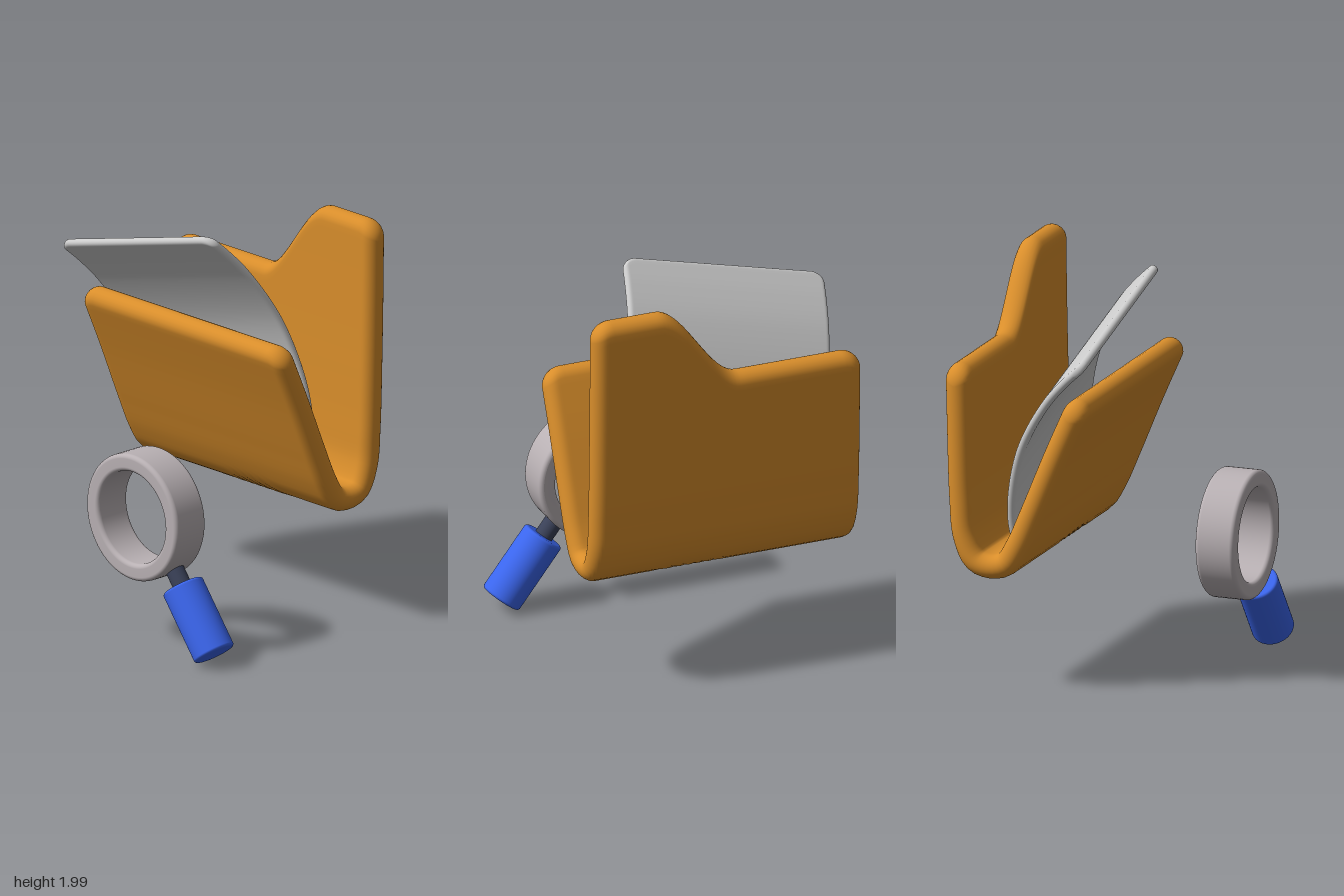
import * as THREE from 'three';
import { mergeVertices } from 'three/addons/utils/BufferGeometryUtils.js';

const mat = (color) => new THREE.MeshStandardMaterial({ color, roughness: 0.6 });

function addMesh(parent, name, geometry, material) {
  const mesh = new THREE.Mesh(geometry, material);
  mesh.name = name;
  parent.add(mesh);
  return mesh;
}

// Round-edged sheet that follows a path of [z, y] points and is swept along x.
// startDrop(x) shortens the sheet at the start of the path.
function bentSheet({ path, halfWidth, r, corner, startDrop = () => 0 }) {
  const curve = new THREE.CatmullRomCurve3(path.map(([z, y]) => new THREE.Vector3(0, y, z)));
  const length = curve.getLength();
  const edge = 12, middle = 60, along = 70, cap = 10;

  // Columns gather towards both side edges
  const xs = [];
  for (let k = 0; k <= edge; k++) xs.push(-halfWidth + corner * (1 - Math.cos((k / edge) * Math.PI / 2)));
  const inner = halfWidth - corner;
  for (let k = 1; k < middle; k++) xs.push(-inner + (2 * inner * k) / middle);
  for (let k = edge; k >= 0; k--) xs.push(-xs[k]);

  const positions = [], indices = [];
  const loop = 2 * (along + 1) + 2 * (cap - 1);
  const arcHeight = (radius, d) => (d >= radius ? radius : Math.sqrt(Math.max(0, radius ** 2 - (radius - d) ** 2)));

  for (const x of xs) {
    const d = halfWidth - Math.abs(x);
    const thick = arcHeight(r, d);
    const cut = corner - arcHeight(corner, d) + thick;
    const u0 = (cut + startDrop(x)) / length, u1 = 1 - cut / length;
    const put = (u, a) => {
      const p = curve.getPointAt(u), t = curve.getTangentAt(u);
      const c = Math.cos(a) * thick, s = Math.sin(a) * thick;
      positions.push(x, p.y - t.z * c + t.y * s, p.z + t.y * c + t.z * s);
    };
    for (let k = 0; k <= along; k++) put(u0 + ((u1 - u0) * k) / along, 0);
    for (let k = 1; k < cap; k++) put(u1, (Math.PI * k) / cap);
    for (let k = along; k >= 0; k--) put(u0 + ((u1 - u0) * k) / along, Math.PI);
    for (let k = 1; k < cap; k++) put(u0, Math.PI + (Math.PI * k) / cap);
  }
  for (let i = 0; i < xs.length - 1; i++) {
    for (let j = 0; j < loop; j++) {
      const a = i * loop + j, b = i * loop + ((j + 1) % loop);
      indices.push(a, a + loop, b, b, a + loop, b + loop);
    }
  }
  let geometry = new THREE.BufferGeometry();
  geometry.setAttribute('position', new THREE.Float32BufferAttribute(positions, 3));
  geometry.setIndex(indices);
  geometry = mergeVertices(geometry, 1e-5);
  geometry.computeVertexNormals();
  return geometry;
}

// Counterclockwise quarter arc for lathe profiles
function arc(cx, cy, radius, from, steps = 6) {
  return Array.from({ length: steps + 1 }, (_, k) => {
    const a = from + (k / steps) * Math.PI / 2;
    return new THREE.Vector2(cx + radius * Math.cos(a), cy + radius * Math.sin(a));
  });
}

// Solid cylinder with softened rims
function softCylinder(radius, length, bevel) {
  const h = length / 2, q = Math.PI / 2;
  return new THREE.LatheGeometry([
    new THREE.Vector2(0, -h), new THREE.Vector2(radius - bevel * 1.5, -h),
    ...arc(radius - bevel, -h + bevel, bevel, -q),
    ...arc(radius - bevel, h - bevel, bevel, 0),
    new THREE.Vector2(radius - bevel * 1.5, h), new THREE.Vector2(0, h),
  ], 48);
}

export function createModel() {
  const model = new THREE.Group();
  model.name = 'folderWithMagnifier';

  // Folder: tall back with a tab on its left, rounded fold, leaning front
  const folder = bentSheet({
    path: [[-0.576, 2], [-0.573, 1.7], [-0.565, 1.3], [-0.553, 0.95], [-0.535, 0.77], [-0.48, 0.655],
      [-0.4, 0.63], [-0.325, 0.65], [-0.265, 0.74], [-0.19, 0.91], [-0.07, 1.2], [0.058, 1.49]],
    halfWidth: 0.7, r: 0.06, corner: 0.1,
    startDrop: (x) => 0.38 * (1 - THREE.MathUtils.smoothstep(x, -0.06, 0.36)),
  });
  addMesh(model, 'folder', folder, mat(0xd98e2b));

  // Paper: tilted sheet that curls forward at the top
  const paper = addMesh(model, 'paper', bentSheet({
    path: [[0.125, 0], [0.02, -0.1], [-0.09, -0.23], [-0.235, -0.48], [-0.31, -0.74], [-0.325, -0.92], [-0.305, -1.03]],
    halfWidth: 0.54, r: 0.021, corner: 0.07,
  }), mat(0xcccccc));
  paper.position.set(-0.277, 1.835, 0);
  paper.rotation.z = 0.251;

  // Magnifier: open ring, neck and handle
  const magnifier = new THREE.Group();
  magnifier.name = 'magnifier';
  magnifier.position.z = 0.53;
  model.add(magnifier);

  const rIn = 0.23, rOut = 0.316, half = 0.1, b = 0.022, q = Math.PI / 2;
  const profile = [
    ...arc(rOut - b, -half + b, b, -q), ...arc(rOut - b, half - b, b, 0),
    ...arc(rIn + b, half - b, b, q), ...arc(rIn + b, -half + b, b, 2 * q),
  ];
  profile.push(profile[0].clone());
  const ring = addMesh(magnifier, 'lensRing', new THREE.LatheGeometry(profile, 72), mat(0xb9b1b4));
  ring.position.set(0.228, 0.665, 0);
  ring.rotation.x = Math.PI / 2;

  const tilt = Math.atan2(0.222, 0.29);
  const neck = addMesh(magnifier, 'neck', new THREE.CylinderGeometry(0.046, 0.046, 0.18, 32), mat(0x3a4158));
  neck.position.set(0.452, 0.4, 0);
  neck.rotation.z = tilt;

  const handle = addMesh(magnifier, 'handle', softCylinder(0.104, 0.37, 0.014), mat(0x3b66ee));
  handle.position.set(0.594, 0.215, 0);
  handle.rotation.z = tilt;

  return model;
}
